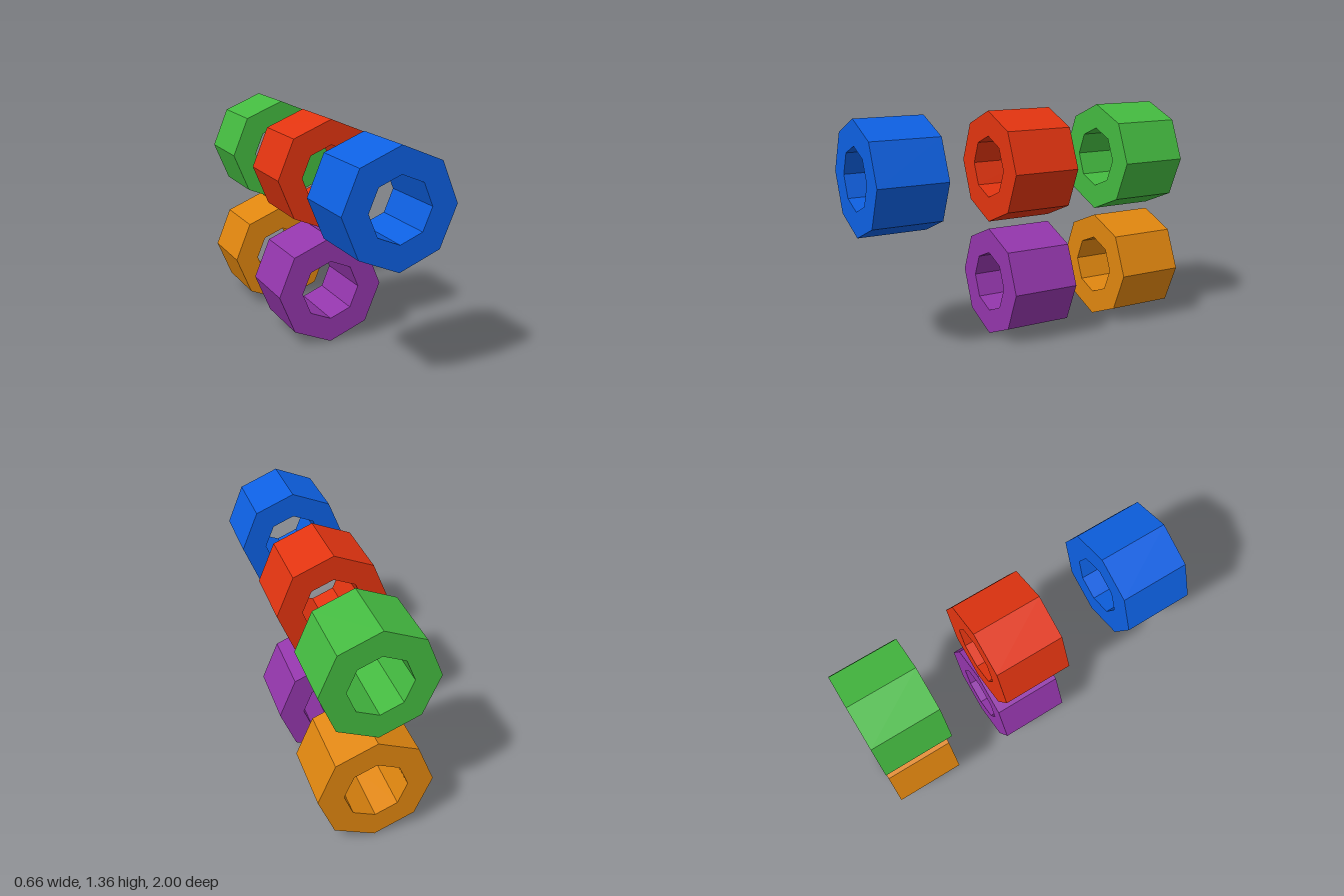
import * as THREE from 'three';

const SIDES = 8, OUTER = 0.33, INNER = 0.182, LENGTH = 0.414;

// Corners of a regular octagon with a corner pointing up
function octagon(radius) {
  return Array.from({ length: SIDES }, (_, i) => {
    const a = (i / SIDES) * Math.PI * 2;
    return new THREE.Vector2(radius * Math.cos(a), radius * Math.sin(a));
  });
}

export function createModel() {
  const model = new THREE.Group();
  model.name = 'octagonalTubes';

  // Octagonal tube with an octagonal bore, lying along z
  const shape = new THREE.Shape(octagon(OUTER));
  shape.holes.push(new THREE.Path(octagon(INNER).reverse()));
  const geometry = new THREE.ExtrudeGeometry(shape, { depth: LENGTH, bevelEnabled: false });
  geometry.translate(0, 0, -LENGTH / 2);

  // Two rows: three tubes above, two below
  const upper = 1.036, lower = 0.332;
  const front = 0.793, middle = -0.028, back = -0.793;
  const tubes = [
    ['upperFrontTube', 0x0d60e2, upper, front],
    ['upperMiddleTube', 0xe23410, upper, middle],
    ['upperBackTube', 0x44ba40, upper, back],
    ['lowerMiddleTube', 0x9336ab, lower, middle],
    ['lowerBackTube', 0xe0860f, lower, back],
  ];
  for (const [name, color, y, z] of tubes) {
    const material = new THREE.MeshStandardMaterial({ color, flatShading: true });
    const tube = new THREE.Mesh(geometry, material);
    tube.name = name;
    tube.position.set(0, y, z);
    model.add(tube);
  }
  return model;
}
